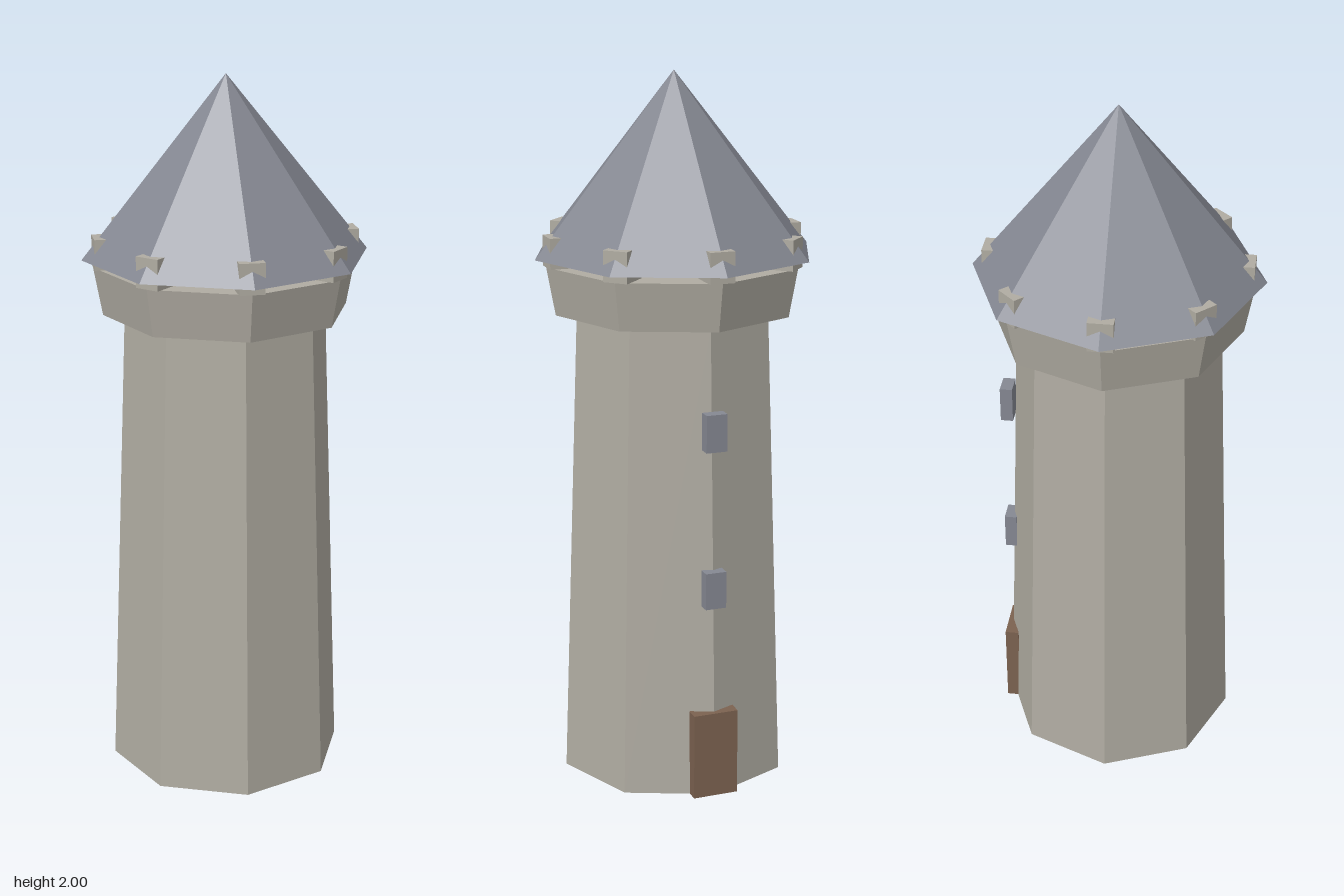
import * as THREE from 'three';

const SIDES = 8;

export function createModel() {
  const tower = new THREE.Group();
  tower.name = 'tower';

  const paint = (name, color) => {
    const m = new THREE.MeshStandardMaterial({ color });
    m.name = name;
    return m;
  };
  const stone = paint('stone', 0xb0aca2);
  const slate = paint('slate', 0x858892);
  const wood = paint('wood', 0x7c6250);

  const add = (name, geometry, material, x, y, z, parent = tower) => {
    const mesh = new THREE.Mesh(geometry, material);
    mesh.name = name;
    mesh.position.set(x, y, z);
    parent.add(mesh);
    return mesh;
  };

  // Eight-sided solid between two heights, with hard edges
  const drum = (name, material, rTop, rBottom, y0, y1) => {
    const g = new THREE.CylinderGeometry(rTop, rBottom, y1 - y0, SIDES).toNonIndexed();
    g.computeVertexNormals();
    return add(name, g, material, 0, (y0 + y1) / 2, 0);
  };

  drum('shaft', stone, 0.285, 0.335, 0, 1.345);
  drum('parapet', stone, 0.37, 0.345, 1.345, 1.48);
  drum('roof', slate, 0, 0.402, 1.502, 2);

  // Merlons stand on the parapet corners and poke through the roof
  const merlonShape = new THREE.BoxGeometry(0.07, 0.085, 0.086);
  for (let i = 0; i < SIDES; i++) {
    const corner = new THREE.Group();
    corner.name = 'merlonCorner';
    corner.rotation.y = (i * Math.PI * 2) / SIDES;
    add('merlon', merlonShape, stone, 0, 1.5225, 0.326, corner);
    tower.add(corner);
  }

  // Door and windows on the back corner
  add('door', new THREE.BoxGeometry(0.13, 0.25, 0.04), wood, 0, 0.125, -0.32);
  for (const y of [0.613, 1.063]) {
    add('window', new THREE.BoxGeometry(0.06, 0.105, 0.035), slate, 0, y, -0.3175);
  }

  return tower;
}
